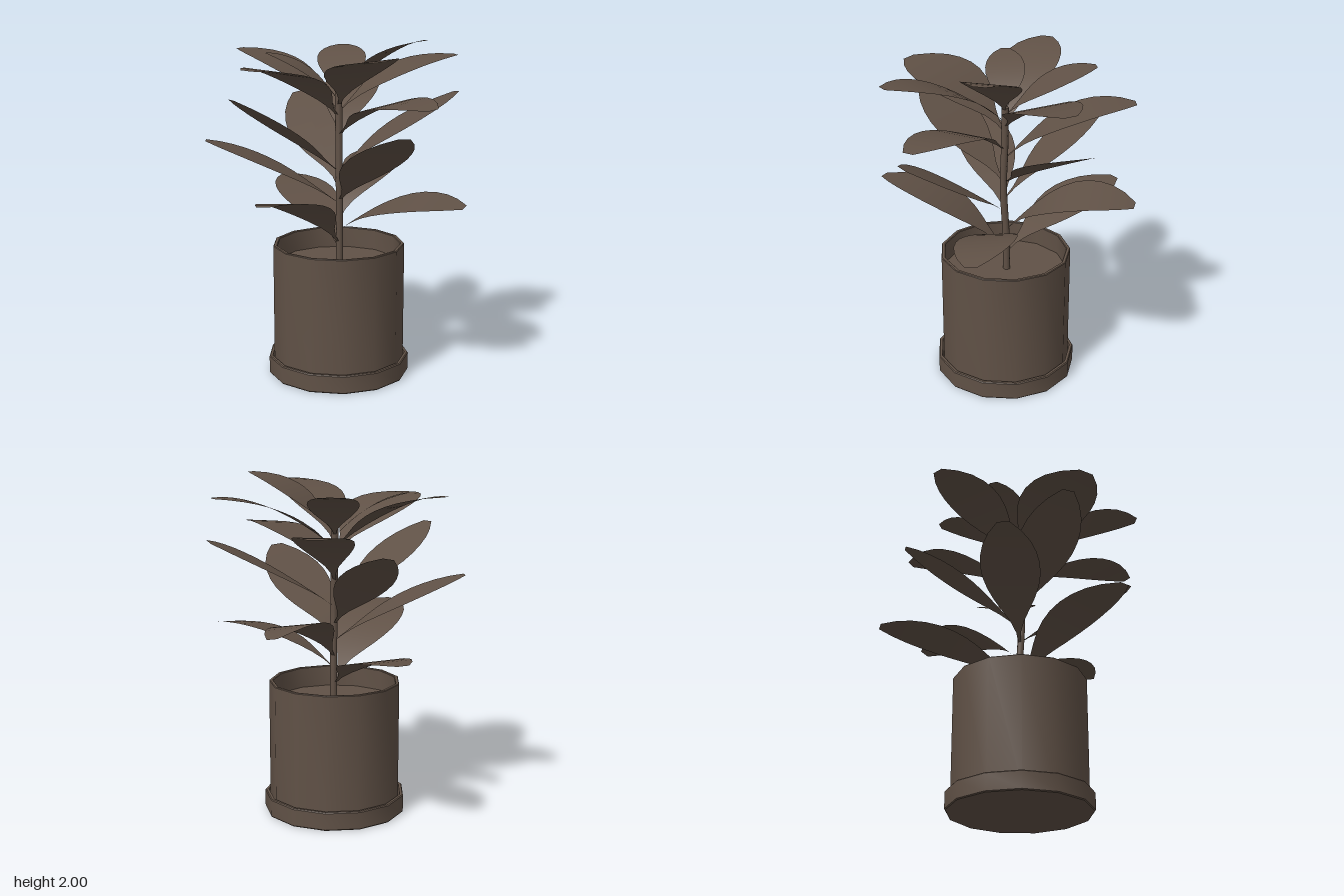
import * as THREE from 'three';
import { toCreasedNormals } from 'three/addons/utils/BufferGeometryUtils.js';

const V = (x, y, z) => new THREE.Vector3(x, y, z);
const brown = new THREE.MeshStandardMaterial({ color: 0x605146, side: THREE.DoubleSide });
brown.name = 'earthBrown';

// Each leaf: tip x, y, z, height on the stem, height of the bend, half width, sideways tilt
const LEAVES = [
  // top tier
  [0.23, 2.0, 0.49, 1.66, 1.97, 0.165, 0],
  [0.35, 1.91, -0.38, 1.64, 1.88, 0.145, 0],
  [-0.27, 1.9, -0.33, 1.64, 1.86, 0.115, 0],
  // upper tier
  [-0.28, 1.93, 0.68, 1.6, 1.93, 0.195, -0.08],
  [0.66, 1.88, 0.28, 1.57, 1.88, 0.2, 0],
  [-0.22, 1.9, -0.67, 1.57, 1.89, 0.17, 0],
  [-0.68, 1.86, 0.06, 1.54, 1.87, 0.235, 0],
  // middle tier
  [0.0, 1.67, 0.79, 1.43, 1.74, 0.185, -0.1],
  [0.56, 1.71, -0.48, 1.38, 1.73, 0.17, 0],
  [0.73, 1.65, 0.22, 1.23, 1.48, 0.2, 0.15],
  [-0.69, 1.69, -0.07, 1.22, 1.47, 0.18, 0],
  [0.21, 1.6, -0.67, 1.13, 1.4, 0.165, 0.2],
  [-0.13, 1.52, 0.71, 1.04, 1.31, 0.19, 0.08],
  // lower tier
  [-0.62, 1.41, -0.45, 1.03, 1.29, 0.17, 0],
  [0.7, 1.18, -0.3, 0.92, 1.31, 0.16, -0.17],
  [0.34, 1.08, 0.7, 0.86, 1.15, 0.17, -0.15],
  [-0.73, 1.16, 0.26, 0.79, 1.16, 0.19, -0.12],
  [0.22, 1.05, -0.8, 0.77, 1.04, 0.18, 0],
];

// Relative leaf width at even steps from stalk to tip
const WIDTH = [0.04, 0.08, 0.24, 0.48, 0.71, 0.88, 0.98, 1.0, 0.94, 0.8, 0.56, 0.2];

// A flat sheet bent along a curve and shaped by the width profile
function leafGeometry([x, y, z, baseY, bendY, halfWidth, tilt]) {
  const rows = WIDTH.length - 1;
  const spine = new THREE.QuadraticBezierCurve3(
    V(0, baseY, 0), V(x * 0.45, bendY, z * 0.45), V(x, y, z));
  const side = V(-z, 0, x).normalize().setY(tilt).normalize();
  const geo = new THREE.PlaneGeometry(2, 1, 2, rows);
  const pos = geo.attributes.position;
  for (let i = 0; i < pos.count; i++) {
    const t = Math.min(1, Math.max(0, pos.getY(i) + 0.5));
    const across = pos.getX(i) * halfWidth * WIDTH[Math.round(t * rows)];
    const p = spine.getPointAt(t).addScaledVector(side, across);
    pos.setXYZ(i, p.x, p.y, p.z);
  }
  geo.computeVertexNormals();
  return geo;
}

// Thirteen-sided turned part with a corner at -x: smooth around, sharp at the rims
function turned(profile) {
  const points = profile.map(([r, h]) => new THREE.Vector2(r, h));
  return toCreasedNormals(new THREE.LatheGeometry(points, 13, -Math.PI / 2), 0.62);
}

export function createModel() {
  const model = new THREE.Group();
  model.name = 'pottedPlant';
  const add = (name, geo) => {
    const mesh = new THREE.Mesh(geo, brown);
    mesh.name = name;
    model.add(mesh);
  };

  // Saucer with a low lip
  add('saucer', turned([[0, 0], [0.415, 0], [0.42, 0.006], [0.42, 0.104], [0.415, 0.11],
    [0.4, 0.11], [0.396, 0.03], [0, 0.03]]));

  // Hollow pot
  add('pot', turned([[0, 0.032], [0.389, 0.032], [0.389, 0.786], [0.385, 0.79],
    [0.37, 0.79], [0.366, 0.786], [0.366, 0.6], [0, 0.6]]));

  // Soil disc
  add('soil', turned([[0.368, 0.665], [0, 0.665]]));

  // Slightly wavy stem
  const stemPath = new THREE.CatmullRomCurve3([
    V(0.01, 0.64, -0.002), V(0.008, 0.9, 0.002), V(-0.004, 1.2, 0.012),
    V(0.0, 1.45, 0.004), V(0, 1.69, 0)]);
  add('stem', new THREE.TubeGeometry(stemPath, 10, 0.021, 8));

  // Leaves
  const leaves = new THREE.Group();
  leaves.name = 'leaves';
  LEAVES.forEach((spec, i) => {
    const leaf = new THREE.Mesh(leafGeometry(spec), brown);
    leaf.name = `leaf${i + 1}`;
    leaves.add(leaf);
  });
  model.add(leaves);

  return model;
}
